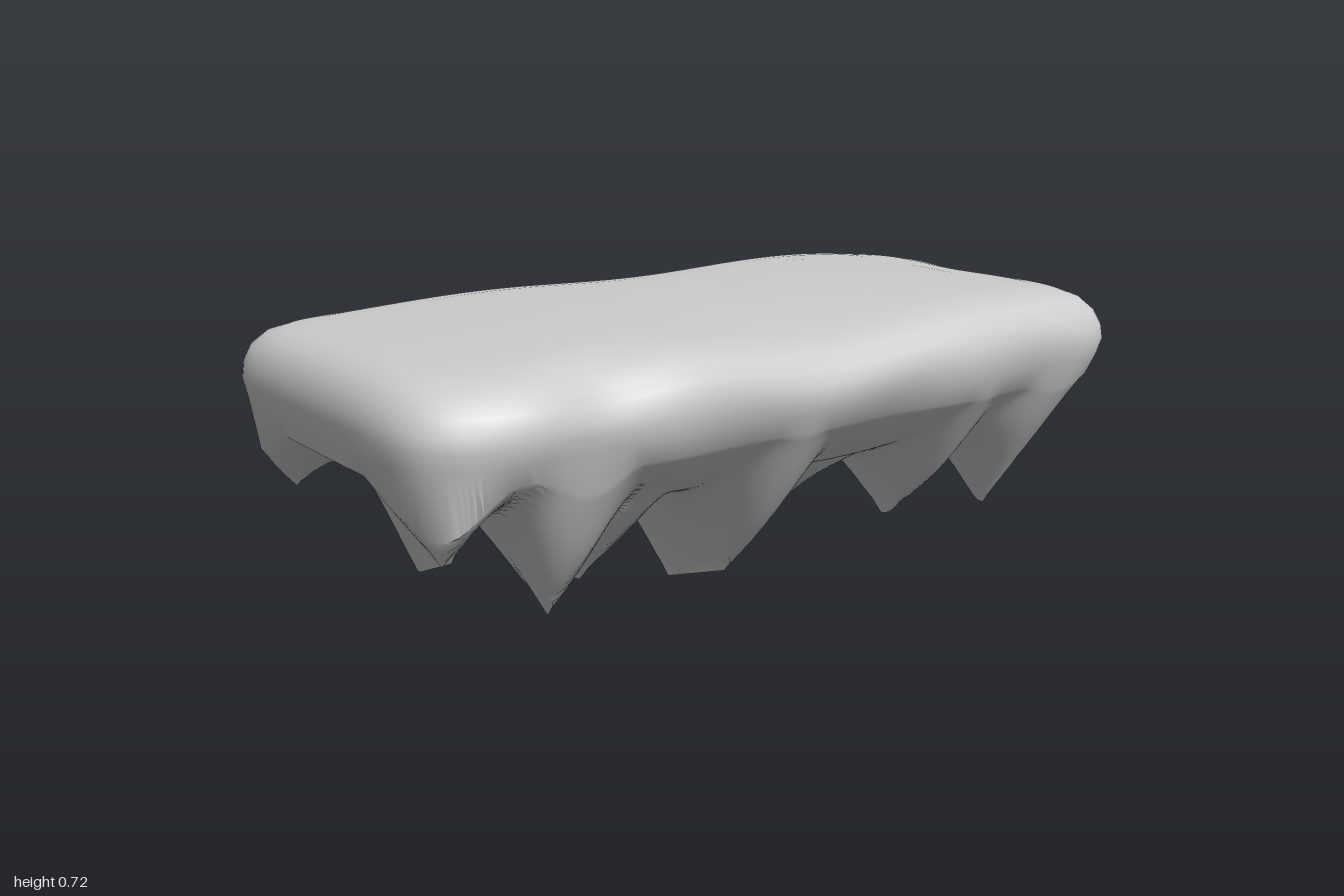
import * as THREE from 'three';
import { toCreasedNormals } from 'three/addons/utils/BufferGeometryUtils.js';

// Hanging spikes: tip x, y, z, end z of the tip ridge, its end y, then reach in x and z
const SPIKES = [
  [-0.04, 0.0, -0.07, 0.16, 0.08, 0.17, 0.32],
  [-0.38, 0.05, -0.18, 0.05, 0.1, 0.15, 0.3],
  [-0.65, 0.09, -0.24, -0.07, 0.16, 0.15, 0.22],
  [-0.59, 0.12, 0.25, 0.22, 0.14, 0.19, 0.25],
  [0.3, 0.07, -0.14, -0.1, 0.09, 0.15, 0.33],
  [0.51, 0.11, 0.12, 0.15, 0.12, 0.14, 0.33],
  [0.78, 0.11, 0.22, 0.18, 0.13, 0.21, 0.27],
  [0.72, 0.25, -0.36, -0.34, 0.26, 0.28, 0.2],
  [-0.89, 0.32, 0.35, 0.33, 0.33, 0.14, 0.18],
  [-0.89, 0.32, -0.36, -0.34, 0.33, 0.16, 0.2],
];

// Soft dents in the rim: x, z, radius, drop, inset along x, inset along z
const DENTS = [
  [-0.56, 0.5, 0.13, 0.025, 0, 0.025],
  [0.03, 0.42, 0.28, 0.022, 0, 0.006],
  [-0.98, 0.5, 0.2, 0.01, 0.025, 0.025],
  [1, 0, 0.15, 0.012, 0.01, 0],
  [0.95, -0.5, 0.18, 0.015, 0.01, 0.03],
];

// Outer shell rings from top centre to the lower rim: half width, half depth, height
const SHELL = [
  [0, 0, 0.72], [0.2, 0.1, 0.72], [0.4, 0.2, 0.72], [0.6, 0.28, 0.72], [0.76, 0.34, 0.718],
  [0.86, 0.385, 0.714], [0.91, 0.42, 0.707], [0.95, 0.455, 0.692], [0.98, 0.482, 0.662],
  [0.995, 0.496, 0.625], [1, 0.5, 0.585], [0.992, 0.49, 0.54], [0.977, 0.472, 0.49],
];
const RIM = SHELL.length - 1;
const UNDER_RINGS = 46;

// Rounded-rectangle outline with evenly spread points, from +x towards +z
function outline() {
  const pts = [];
  const corners = [[1, -1], [1, 1], [-1, 1], [-1, -1]];
  corners.forEach(([x0, z0], side) => {
    const [x1, z1] = corners[(side + 1) % 4];
    const n = side % 2 ? 90 : 44;
    for (let i = 0; i < n; i++) {
      const u = x0 + (x1 - x0) * i / n, v = z0 + (z1 - z0) * i / n;
      const k = Math.pow(Math.abs(u) ** 9 + Math.abs(v) ** 9, -1 / 9);
      pts.push([u * k, v * k]);
    }
  });
  return pts;
}

// Height of the underside once the nearest spike has pulled it down
function pullDown(x, y, z) {
  let low = y;
  for (const [sx, tipY, z0, z1, endY, rx, rz] of SPIKES) {
    const t = THREE.MathUtils.clamp((z - z0) / (z1 - z0), 0, 1);
    const d = Math.hypot((x - sx) / rx, (z - z0 - t * (z1 - z0)) / rz);
    if (d >= 1) continue;
    const tip = tipY + t * (endY - tipY);
    low = Math.min(low, y - (y - tip) * Math.pow(1 - d, 1.4));
  }
  return low;
}

// Moves points close to a tip ridge onto it, so the ridge stays a clean edge
function snapToRidge(x, z) {
  for (const [sx, , z0, z1] of SPIKES) {
    const near = z > Math.min(z0, z1) - 0.03 && z < Math.max(z0, z1) + 0.03;
    if (near && Math.abs(x - sx) < 0.014) return sx;
  }
  return x;
}

// A point of the top and sides
function shellPoint(u, v, r) {
  const [hx, hz, h] = SHELL[r];
  let x = u * hx, z = v * hz;
  // Dents and the swells of the top fade out down the sides
  const fade = THREE.MathUtils.smoothstep(h, 0.5, 0.68);
  let y = h - fade * (0.006 * Math.cos(7 * (x - 0.08)) + 0.06 * Math.max(0, z) ** 2);
  for (const [dx, dz, radius, drop, inX, inZ] of DENTS) {
    const g = Math.exp(-((u * hx - dx) ** 2 + (v * hz - dz) ** 2) / radius ** 2);
    y -= drop * g * fade;
    x -= Math.sign(dx) * inX * g;
    z -= Math.sign(dz) * inZ * g;
  }
  // Flutes between the front spikes
  const low = Math.max(0, (r - 8) / (RIM - 8));
  z *= 1 - 0.03 * low * Math.max(0, v) ** 4 * (0.5 + 0.5 * Math.cos(14 * (x - 0.22)));
  return [x, r === RIM ? pullDown(x, y, z) : y, z];
}

// A point of the underside, a shallow keel; s runs from 1 at the rim to 0 at the centre
function underPoint(u, v, s) {
  const [rx, , rz] = shellPoint(u, v, RIM);
  const z = rz * s, x = snapToRidge(rx * s, z);
  return [x, pullDown(x, 0.3 + 0.19 * s ** 2.6, z), z];
}

function slabGeometry() {
  const plan = outline(), n = plan.length;
  const rings = SHELL.map((_, r) => plan.map(([u, v]) => shellPoint(u, v, r)));
  for (let i = 1; i <= UNDER_RINGS; i++) {
    rings.push(plan.map(([u, v]) => underPoint(u, v, 1 - i / UNDER_RINGS)));
  }
  const index = [];
  for (let r = 0; r < rings.length - 1; r++) {
    for (let j = 0; j < n; j++) {
      const k = (j + 1) % n;
      const a = r * n + j, b = a + n, c = r * n + k, d = c + n;
      if (r > 0) index.push(a, c, b);
      if (r < rings.length - 2) index.push(c, d, b);
    }
  }
  const geo = new THREE.BufferGeometry();
  geo.setAttribute('position', new THREE.Float32BufferAttribute(rings.flat(2), 3));
  geo.setIndex(index);
  return toCreasedNormals(geo, 0.8);
}

export function createModel() {
  const group = new THREE.Group();
  group.name = 'floatingRockSlab';
  const slab = new THREE.Mesh(slabGeometry(), new THREE.MeshStandardMaterial({ color: 0xcccccc }));
  slab.name = 'slabWithSpikes';
  group.add(slab);
  return group;
}
